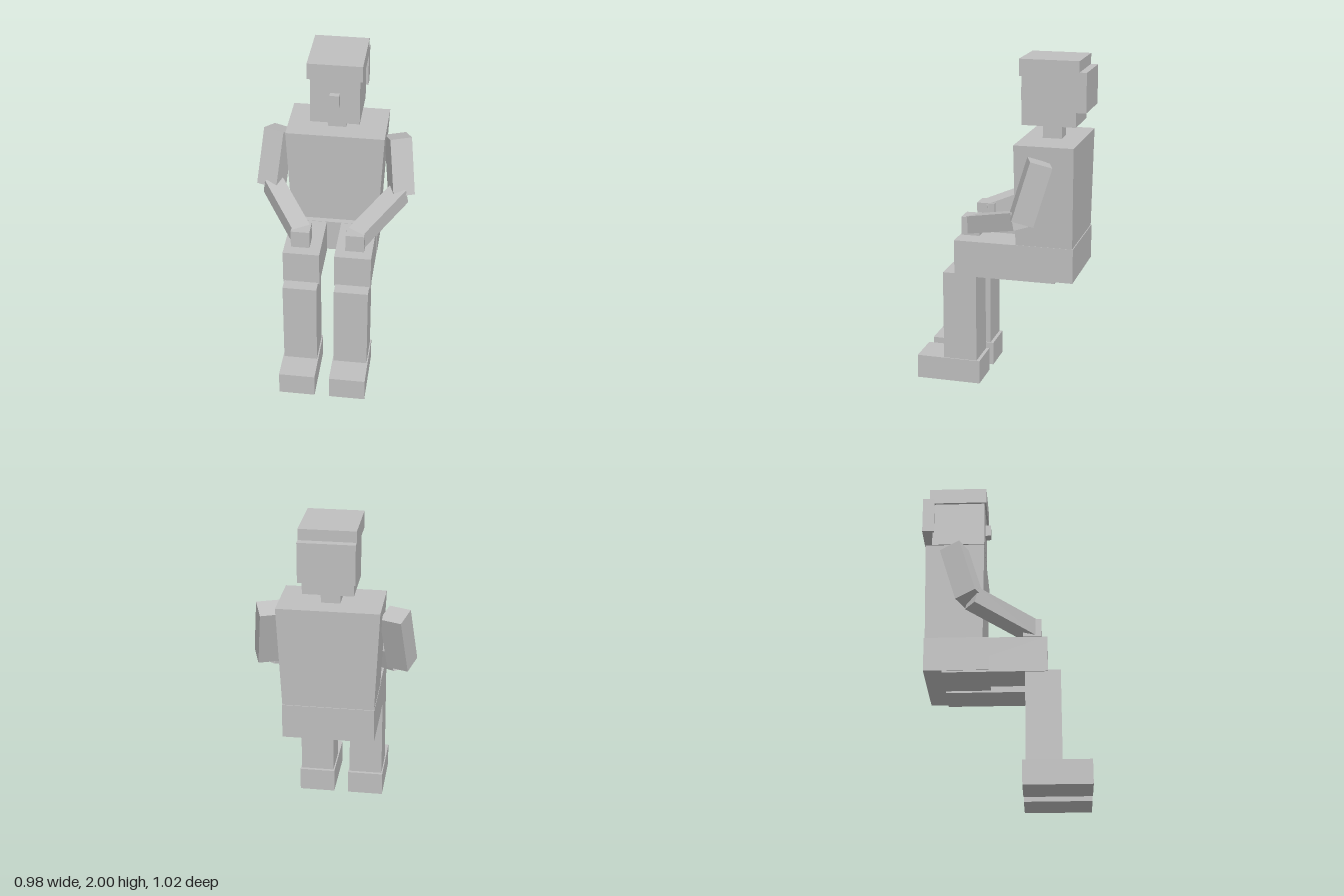
import * as THREE from 'three';

const grey = new THREE.MeshStandardMaterial({ color: 0xbfbfbf });
grey.name = 'plain grey';

// Box given by its minimum and maximum on each axis
function block(parent, name, [x0, x1], [y0, y1], [z0, z1]) {
  const mesh = new THREE.Mesh(new THREE.BoxGeometry(x1 - x0, y1 - y0, z1 - z0), grey);
  mesh.position.set((x0 + x1) / 2, (y0 + y1) / 2, (z0 + z1) / 2);
  mesh.name = name;
  parent.add(mesh);
  return mesh;
}

// Box running from one joint to another, its width kept level
function limb(parent, name, from, to, width, depth) {
  const axis = from.clone().sub(to);
  const mesh = new THREE.Mesh(new THREE.BoxGeometry(width, axis.length(), depth), grey);
  const y = axis.normalize();
  const x = new THREE.Vector3().crossVectors(y, new THREE.Vector3(0, 1, 0)).normalize();
  const z = new THREE.Vector3().crossVectors(x, y);
  mesh.quaternion.setFromRotationMatrix(new THREE.Matrix4().makeBasis(x, y, z));
  mesh.position.copy(from).add(to).multiplyScalar(0.5);
  mesh.name = name;
  parent.add(mesh);
}

export function createModel() {
  const model = new THREE.Group();
  model.name = 'seatedFigure';

  // Head with nose and hair
  const head = new THREE.Group();
  head.name = 'head';
  model.add(head);
  block(head, 'face', [-0.147, 0.147], [1.61, 1.92], [-0.445, -0.12]);
  block(head, 'nose', [-0.029, 0.029], [1.735, 1.81], [-0.13, -0.086]);
  block(head, 'hairTop', [-0.163, 0.163], [1.9, 2], [-0.465, -0.108]);
  block(head, 'hairBack', [-0.163, 0.163], [1.7, 1.935], [-0.508, -0.435]);
  block(model, 'neck', [-0.056, 0.056], [1.52, 1.62], [-0.342, -0.227]);

  // Torso narrows towards the waist
  const torso = block(model, 'torso', [-0.298, 0.298], [0.9, 1.52], [-0.467, -0.111]);
  const p = torso.geometry.attributes.position;
  for (let i = 0; i < p.count; i++) {
    if (p.getY(i) < 0) p.setXYZ(i, p.getX(i) * 0.9, p.getY(i), p.getZ(i) * 0.96);
  }
  torso.geometry.computeVertexNormals();
  block(model, 'pelvis', [-0.271, 0.271], [0.702, 0.912], [-0.465, -0.083]);

  for (const s of [-1, 1]) {
    const side = s > 0 ? 'left' : 'right';
    const span = (a, b) => (s > 0 ? [a, b] : [-b, -a]);

    // Leg, bent at the knee
    const leg = new THREE.Group();
    leg.name = side + 'Leg';
    model.add(leg);
    block(leg, 'thigh', span(0.045, 0.267), [0.69, 0.91], [-0.357, 0.263]);
    block(leg, 'shin', span(0.053, 0.26), [0.14, 0.7], [0.13, 0.338]);
    block(leg, 'foot', span(0.045, 0.267), [0, 0.147], [0.11, 0.508]);

    // Arm, resting forward over the lap
    const arm = new THREE.Group();
    arm.name = side + 'Arm';
    model.add(arm);
    const shoulder = new THREE.Vector3(s * 0.365, 1.445, -0.286);
    const elbow = new THREE.Vector3(s * 0.403, 1.1, -0.186);
    const forearmTop = new THREE.Vector3(s * 0.395, 1.105, -0.175);
    const wrist = new THREE.Vector3(s * 0.158, 0.99, 0.185);
    limb(arm, 'upperArm', shoulder, elbow, 0.135, 0.133);
    limb(arm, 'forearm', forearmTop, wrist, 0.114, 0.104);
    block(arm, 'hand', span(0.108, 0.221), [0.935, 1.047], [0.118, 0.229]);
  }
  return model;
}
